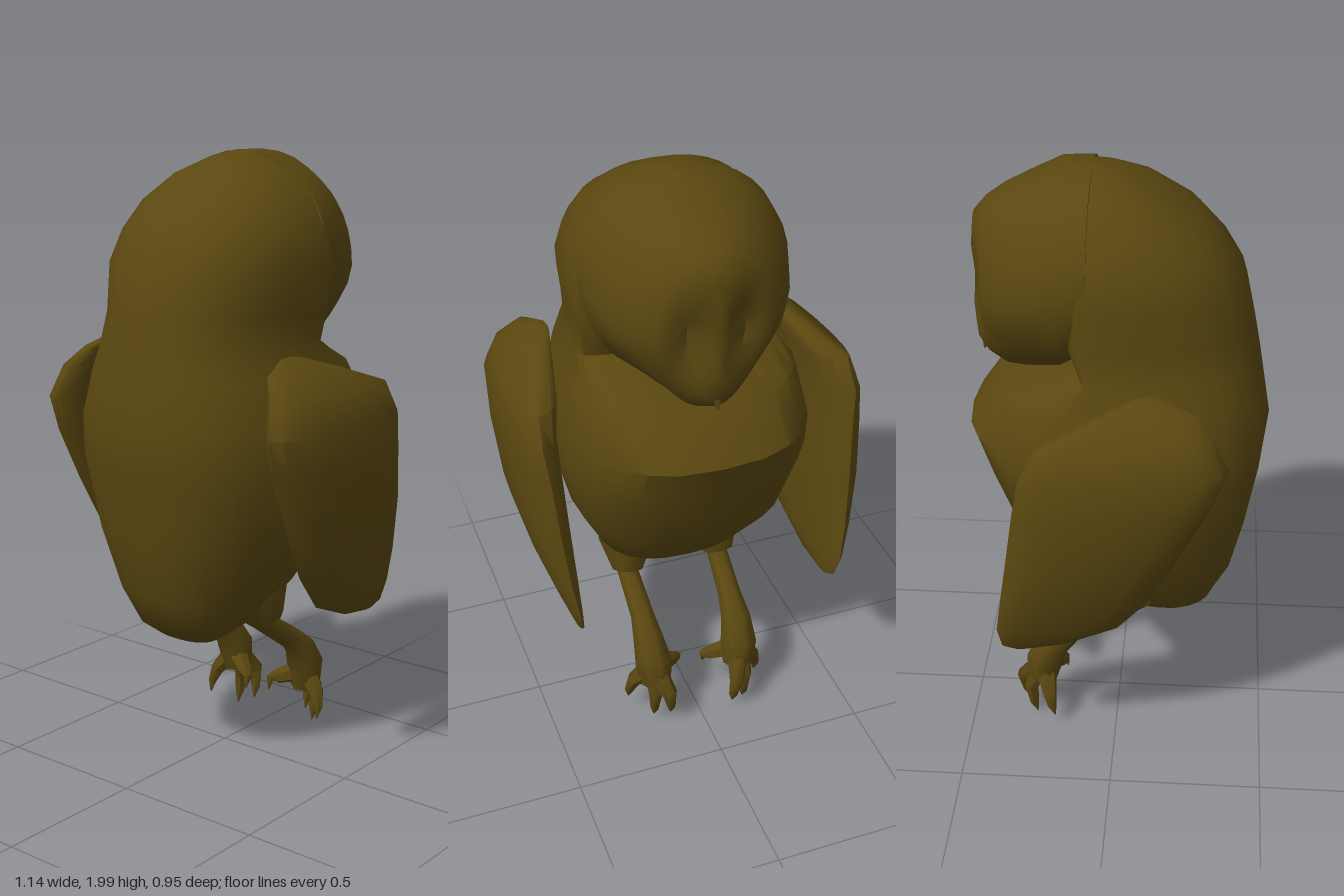
import * as THREE from 'three';
import { mergeVertices, toCreasedNormals } from 'three/addons/utils/BufferGeometryUtils.js';

const V = (x, y, z) => new THREE.Vector3(x, y, z);
const material = new THREE.MeshStandardMaterial({ color: 0x5a4710, side: THREE.DoubleSide });

// Closed skin through rings of equal length, capped at both ends, always facing outward
function loft(rings, crease) {
  const n = rings[0].length, pts = rings.flat(), idx = [];
  for (let i = 0; i < rings.length - 1; i++) for (let j = 0; j < n; j++) {
    const a = i * n + j, b = i * n + (j + 1) % n;
    idx.push(a, b, b + n, a, b + n, a + n);
  }
  for (const [r, flip] of [[0, false], [rings.length - 1, true]]) {
    const c = rings[r].reduce((s, p) => s.add(p), V(0, 0, 0)).divideScalar(n);
    pts.push(c);
    for (let j = 0; j < n; j++) {
      const a = r * n + j, b = r * n + (j + 1) % n;
      idx.push(pts.length - 1, flip ? a : b, flip ? b : a);
    }
  }
  let volume = 0;
  for (let i = 0; i < idx.length; i += 3) {
    volume += pts[idx[i]].dot(V(0, 0, 0).crossVectors(pts[idx[i + 1]], pts[idx[i + 2]]));
  }
  if (volume < 0) idx.reverse();
  const geo = new THREE.BufferGeometry().setFromPoints(pts);
  geo.setIndex(idx);
  return toCreasedNormals(mergeVertices(geo), crease);
}

const part = (name, geo) => {
  const mesh = new THREE.Mesh(geo, material);
  mesh.name = name;
  return mesh;
};

// Rounded outline value: signed power of cosine or sine
const soft = (v, e) => Math.sign(v) * Math.abs(v) ** e;

// Tapered limb along [x, y, z, radius] stations
function limb(stations, sides = 7) {
  const p = stations.map(s => V(s[0], s[1], s[2]));
  return loft(stations.map((s, i) => {
    const t = p[Math.min(i + 1, p.length - 1)].clone().sub(p[Math.max(i - 1, 0)]).normalize();
    const v = t.clone().cross(V(1, 0, 0)).normalize(), u = v.clone().cross(t);
    return Array.from({ length: sides }, (_, j) => {
      const a = j / sides * Math.PI * 2;
      return p[i].clone().addScaledVector(u, Math.cos(a) * s[3]).addScaledVector(v, Math.sin(a) * s[3]);
    });
  }), 1);
}

// Body and back of head: [y, back z, front z, half width, z of widest point]
function bodyGeometry() {
  const rows = [
    [0.45, 0.25, 0.12, 0.11, 0.18], [0.50, 0.32, 0.02, 0.175, 0.15], [0.62, 0.38, -0.17, 0.255, 0.06],
    [0.82, 0.425, -0.34, 0.35, 0], [1.05, 0.465, -0.425, 0.405, -0.03], [1.18, 0.48, -0.475, 0.395, -0.04],
    [1.33, 0.455, -0.37, 0.36, -0.05], [1.42, 0.44, -0.12, 0.325, -0.07], [1.52, 0.42, -0.17, 0.322, -0.08],
    [1.66, 0.39, -0.17, 0.34, -0.08], [1.76, 0.33, -0.17, 0.32, -0.08], [1.85, 0.25, -0.17, 0.275, -0.08],
    [1.93, 0.13, -0.17, 0.20, -0.08], [1.98, 0.02, -0.17, 0.10, -0.08], [2.0, -0.06, -0.17, 0.03, -0.08]];
  return loft(rows.map(([y, zb, zf, w, zc]) => Array.from({ length: 24 }, (_, j) => {
    const a = j / 24 * Math.PI * 2, s = soft(Math.sin(a), 0.83);
    const x = w * soft(Math.cos(a), 0.78) + (y > 1.45 ? 0.012 : 0);
    return V(x, y, zc + (s > 0 ? zb - zc : zc - zf) * s);
  })), 0.75);
}

// Head with facial disc: [z, bottom y, top y, half width]
function headGeometry() {
  const rows = [
    [-0.08, 1.42, 2.0, 0.325], [-0.18, 1.36, 2.0, 0.318], [-0.28, 1.33, 1.955, 0.282], [-0.35, 1.335, 1.92, 0.24],
    [-0.41, 1.37, 1.88, 0.185], [-0.445, 1.42, 1.84, 0.135], [-0.453, 1.47, 1.79, 0.09], [-0.46, 1.53, 1.73, 0.03]];
  return loft(rows.map(([z, y0, y1, w]) => Array.from({ length: 32 }, (_, j) => {
    const a = j / 32 * Math.PI * 2;
    const y = (y0 + y1) / 2 + (y1 - y0) / 2 * Math.sin(a);
    // The face narrows towards the beak
    const taper = z < -0.2 ? 0.3 * THREE.MathUtils.clamp((1.6 - y) / 0.2, 0, 1) : 0;
    const x = w * soft(Math.cos(a), 0.95) * (1 - taper);
    // Sunken eye hollows either side of the beak ridge
    const d = ((Math.abs(x) - 0.085) / 0.055) ** 2 + ((y - 1.62) / 0.13) ** 2;
    return V(x + 0.01, y, z + (z < -0.38 ? 0.05 * Math.exp(-d) : 0));
  })), 0.9);
}

// Folded wing: [y, back z, front z, back x, front x, outermost x, innermost x]
function wingGeometry(side) {
  const rows = [
    [1.40, 0.19, 0.11, 0.37, 0.38, 0.39, 0.36], [1.36, 0.30, -0.02, 0.41, 0.43, 0.45, 0.37],
    [1.30, 0.345, -0.19, 0.45, 0.49, 0.53, 0.39], [1.20, 0.39, -0.24, 0.475, 0.495, 0.562, 0.41],
    [1.08, 0.35, -0.26, 0.465, 0.48, 0.565, 0.41], [0.90, 0.26, -0.285, 0.45, 0.465, 0.552, 0.405],
    [0.72, 0.17, -0.31, 0.435, 0.445, 0.505, 0.40], [0.60, 0.07, -0.325, 0.425, 0.425, 0.46, 0.40],
    [0.53, -0.1, -0.31, 0.415, 0.415, 0.43, 0.40], [0.51, -0.22, -0.27, 0.41, 0.41, 0.415, 0.405]];
  return loft(rows.map(([y, zb, zf, xb, xf, xo, xi]) => Array.from({ length: 16 }, (_, j) => {
    const a = j / 16 * Math.PI * 2, t = (1 - soft(Math.cos(a), 0.85)) / 2, s = Math.sin(a);
    const edge = xb + (xf - xb) * t;
    const x = edge + ((s > 0 ? xo : xi) - edge) * Math.abs(s) ** 0.85;
    return V(side * x, y, zb + (zf - zb) * t);
  })), 0.8);
}

// Leg with a drooping foot and four clawed toes
function makeLeg(side) {
  const leg = new THREE.Group();
  const dy = side > 0 ? 0.02 : 0;
  leg.add(part('shank', limb([
    [side * 0.165, 0.56, 0.11, 0.045], [side * 0.165, 0.49, 0.02, 0.035], [side * 0.16, 0.38, -0.15, 0.04],
    [side * 0.16, 0.325, -0.21, 0.052], [side * 0.155, 0.25, -0.25, 0.064], [side * 0.15, 0.17, -0.26, 0.052]])));
  const tips = [[0.235, 0.06, -0.21], [0.165, 0.015, -0.28], [0.115, 0.035, -0.31], [0.05, 0.13, -0.18]];
  for (const [x, y, z] of tips) {
    const kx = 0.155 + (x - 0.155) * 0.8, ky = y + (0.21 - y) * 0.6;
    leg.add(part('toe', limb([
      [side * 0.155, 0.23, -0.25, 0.04], [side * kx, ky + dy, z - 0.02, 0.026],
      [side * x, y + 0.04 + dy, z - 0.01, 0.016], [side * x, y + dy, z, 0.002]], 6)));
  }
  return leg;
}

export function createModel() {
  const model = new THREE.Group();
  model.name = 'owl';
  model.add(part('body', bodyGeometry()), part('head', headGeometry()));

  // Hooked beak under the facial ridge
  model.add(part('beak', limb([
    [0.01, 1.58, -0.435, 0.012], [0.01, 1.5, -0.425, 0.03],
    [0.01, 1.43, -0.415, 0.026], [0.01, 1.37, -0.432, 0.003]], 6)));

  const leftWing = part('leftWing', wingGeometry(1));

  // The right wing is swung slightly so its rear edge tucks against the back
  const rightWing = new THREE.Group();
  rightWing.name = 'rightWing';
  const rightShell = part('rightWingShell', wingGeometry(-1));
  rightShell.position.x = 0.46;
  rightWing.add(rightShell);
  rightWing.position.set(-0.46, 0.01, -0.035);
  rightWing.rotation.y = 0.13;
  model.add(leftWing, rightWing);

  for (const side of [1, -1]) {
    const leg = makeLeg(side);
    leg.name = side > 0 ? 'leftLeg' : 'rightLeg';
    model.add(leg);
    // Feathered thigh blending into the belly
    model.add(part('thigh', limb([
      [side * 0.14, 0.76, 0.04, 0.12], [side * 0.155, 0.6, 0.02, 0.1], [side * 0.165, 0.49, -0.02, 0.055]], 8)));
  }
  return model;
}
